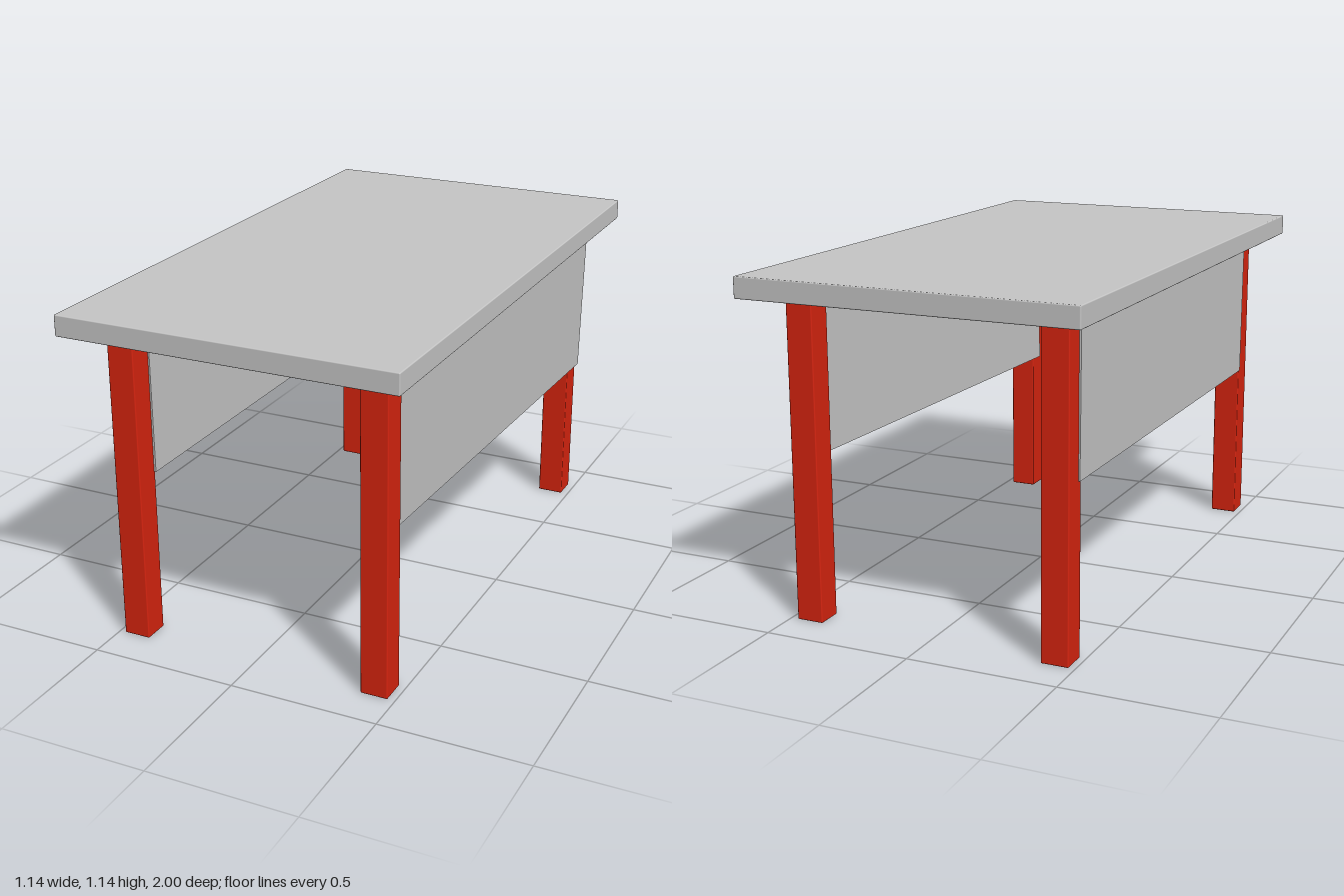
import * as THREE from 'three';
import { RoundedBoxGeometry } from 'three/addons/geometries/RoundedBoxGeometry.js';

export function createModel() {
  const table = new THREE.Group();
  table.name = 'table';

  const grey = new THREE.MeshStandardMaterial({ color: 0xc6c6c6 });
  grey.name = 'light grey';
  const red = new THREE.MeshStandardMaterial({ color: 0xd8240f });
  red.name = 'red';

  function add(name, geometry, material, x, y, z) {
    const mesh = new THREE.Mesh(geometry, material);
    mesh.name = name;
    mesh.position.set(x, y, z);
    table.add(mesh);
    return mesh;
  }

  // Slab top with slightly softened edges
  add('tableTop', new RoundedBoxGeometry(1.14, 0.07, 2, 2, 0.004), grey, 0, 1.105, 0);

  // Four square legs
  const legGeometry = new RoundedBoxGeometry(0.092, 1.075, 0.09, 2, 0.004);
  for (const [side, x] of [['left', 0.429], ['right', -0.433]]) {
    for (const [end, z] of [['Front', 0.82], ['Back', -0.819]]) {
      add(`${side}${end}Leg`, legGeometry, red, x, 0.5375, z);
    }
  }

  // Side panels between the legs; the left one sits a little askew
  const left = add('leftPanel', new THREE.BoxGeometry(0.104, 0.53, 1.575), grey, 0.437, 0.81, -0.006);
  left.rotation.set(0, -0.032, -0.018);
  const right = add('rightPanel', new THREE.BoxGeometry(0.102, 0.5, 1.575), grey, -0.433, 0.818, -0.006);
  right.rotation.set(0, 0.001, 0.005);

  return table;
}
